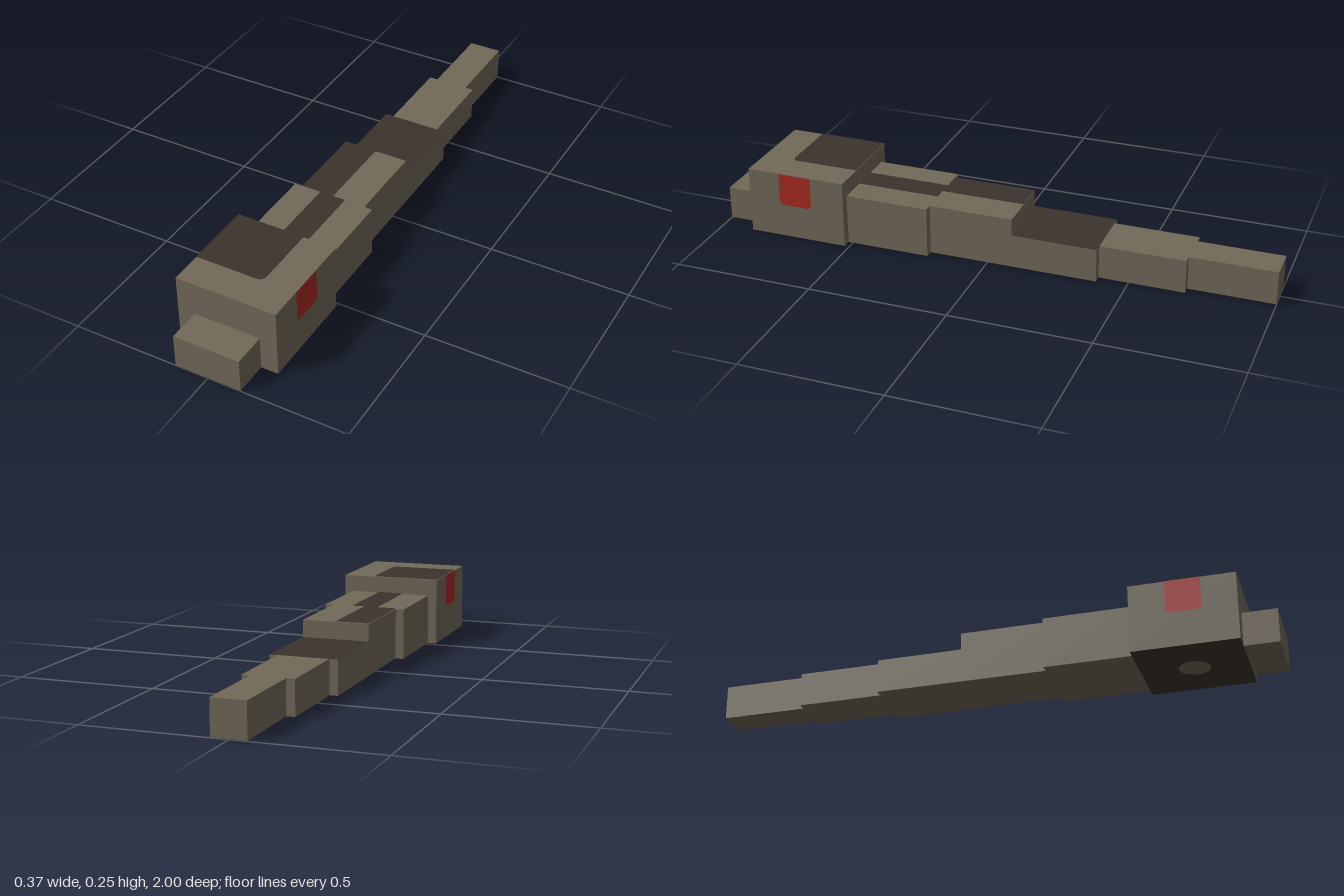
import * as THREE from 'three';

export function createModel() {
  const model = new THREE.Group();
  const material = (name, color) => {
    const m = new THREE.MeshStandardMaterial({ color });
    m.name = name;
    return m;
  };
  const stone = material('stone brown', 0x726959);
  const dark = material('dark brown', 0x3b332c);
  const red = material('eye red', 0xa82b22);

  const add = (name, geometry, mat) => {
    const mesh = new THREE.Mesh(geometry, mat);
    mesh.name = name;
    model.add(mesh);
    return mesh;
  };

  // Body segments: name, half width, height, front z, back z, dark face (2 top, 3 bottom)
  const segments = [
    ['snout', 0.12, 0.12, 1.0, 0.88],
    ['head', 0.182, 0.242, 0.88, 0.515, 3],
    ['neck', 0.15, 0.182, 0.515, 0.212],
    ['body', 0.12, 0.182, 0.212, -0.09],
    ['tailBase', 0.12, 0.121, -0.09, -0.394, 2],
    ['tailMiddle', 0.09, 0.121, -0.394, -0.697],
    ['tailTip', 0.06, 0.121, -0.697, -1.0],
  ];
  for (const [name, half, height, front, back, darkFace] of segments) {
    const faces = Array(6).fill(stone);
    if (darkFace) faces[darkFace] = dark;
    const box = new THREE.BoxGeometry(half * 2, height, front - back);
    add(name, box, faces).position.set(0, height / 2, (front + back) / 2);
  }

  // Flat outline with optionally clipped lower corners
  const panel = (x0, x1, y0, y1, cutLeft = 0, cutRight = 0) => {
    const s = new THREE.Shape();
    s.moveTo(x0 + cutLeft, y0);
    s.lineTo(x1 - cutRight, y0);
    s.quadraticCurveTo(x1, y0, x1, y0 + cutRight);
    s.lineTo(x1, y1);
    s.lineTo(x0, y1);
    s.lineTo(x0, y0 + cutLeft);
    s.quadraticCurveTo(x0, y0, x0 + cutLeft, y0);
    return new THREE.ShapeGeometry(s, 4);
  };

  // Dark markings along the back
  const marking = (name, y, x0, x1, z0, z1, cut = 0) => {
    const g = panel(x0, x1, -z1, -z0, 0, cut);
    add(name, g.rotateX(-Math.PI / 2), dark).position.y = y + 0.002;
  };
  marking('headMarking', 0.242, -0.182, 0.065, 0.515, 0.765, 0.025);
  marking('neckMarking', 0.182, -0.05, 0.046, 0.212, 0.515);
  marking('bodyMarking', 0.182, -0.12, 0, -0.09, 0.212);

  // Eyes on both sides of the head
  for (const side of [1, -1]) {
    const eye = add(side > 0 ? 'leftEye' : 'rightEye',
      panel(-0.061, 0.061, 0.123, 0.242, 0.02, 0.02), red);
    eye.rotation.y = side * Math.PI / 2;
    eye.position.set(side * 0.184, 0, 0.7);
  }

  // Pale spot under the head
  const spot = new THREE.CircleGeometry(0.055, 16).rotateX(Math.PI / 2);
  add('chinSpot', spot, stone).position.set(0, -0.002, 0.698);

  return model;
}
